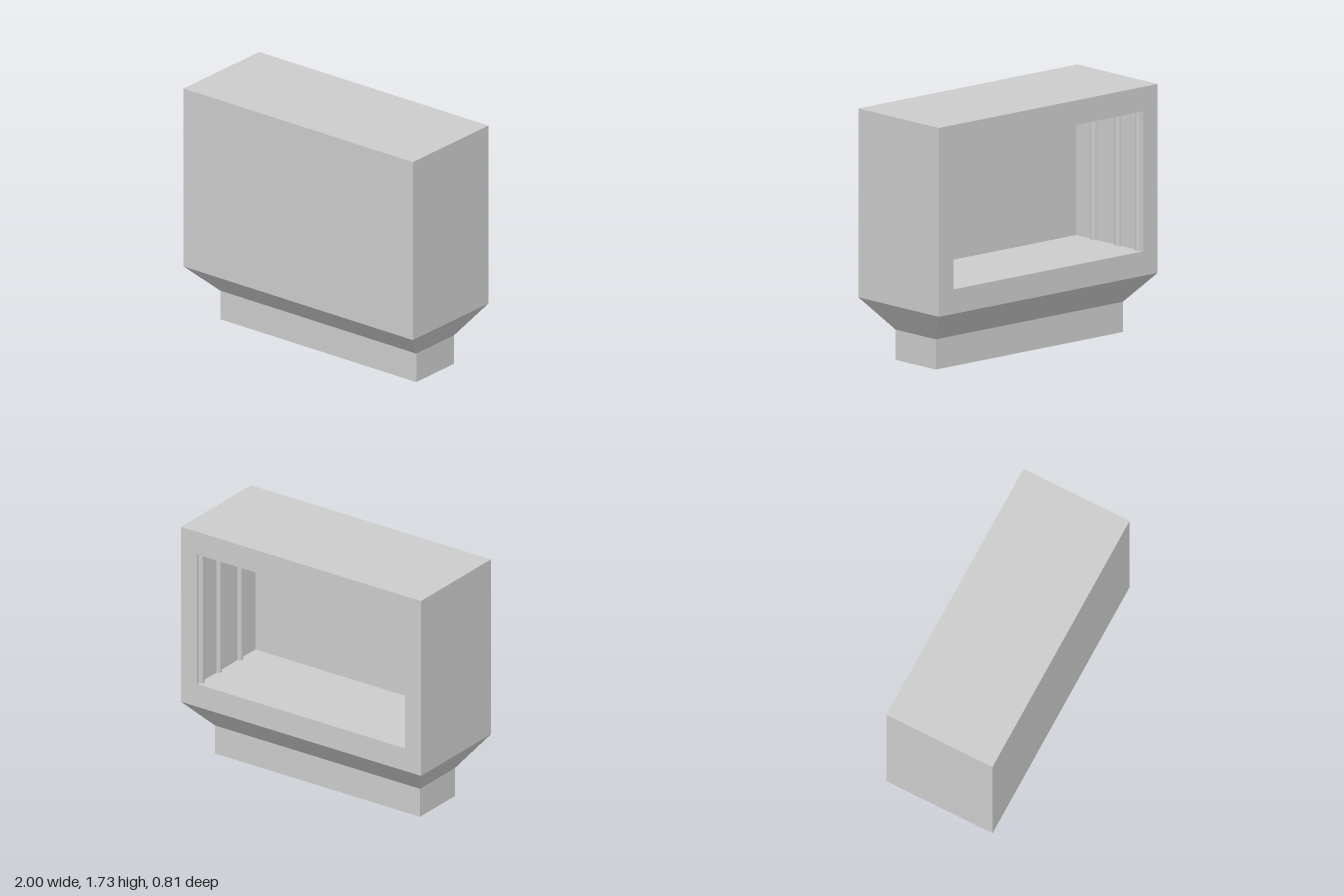
import * as THREE from 'three';

export function createModel() {
  const model = new THREE.Group();
  const grey = new THREE.MeshStandardMaterial({ color: 0xcccccc });
  grey.name = 'lightGrey';

  function add(name, geometry, x = 0, y = 0, z = 0) {
    const mesh = new THREE.Mesh(geometry, grey);
    mesh.name = name;
    mesh.position.set(x, y, z);
    model.add(mesh);
    return mesh;
  }

  // Rectangle outline, anticlockwise
  const rectangle = (Type, x, y0, y1) => new Type([
    new THREE.Vector2(-x, y0), new THREE.Vector2(x, y0),
    new THREE.Vector2(x, y1), new THREE.Vector2(-x, y1),
  ]);

  const bottom = 0.42, top = 1.73, depth = 0.405;   // outer case
  const holeX = 0.865, holeBottom = 0.59, holeTop = 1.56, innerZ = 0.267;

  // Case walls around the recess, open to the back
  const frame = rectangle(THREE.Shape, 1, bottom, top);
  frame.holes.push(rectangle(THREE.Path, holeX, holeBottom, holeTop));
  add('caseWalls', new THREE.ExtrudeGeometry(frame, { depth: depth + innerZ, bevelEnabled: false }), 0, 0, -depth);

  // Solid front panel closing the recess
  add('frontPanel', new THREE.BoxGeometry(2, top - bottom, depth - innerZ), 0, (top + bottom) / 2, (depth + innerZ) / 2);

  // Plinth, set slightly towards the back
  const baseX = 0.855, baseZ = 0.2025, baseShift = -0.0125, baseTop = 0.21;
  add('plinth', new THREE.BoxGeometry(2 * baseX, baseTop, 2 * baseZ), 0, baseTop / 2, baseShift);

  // Tapered neck: a box whose lower corners are drawn in to the plinth
  const neck = new THREE.BoxGeometry(2, bottom - baseTop, 2 * depth);
  const p = neck.attributes.position;
  for (let i = 0; i < p.count; i++) {
    if (p.getY(i) < 0) {
      p.setX(i, Math.sign(p.getX(i)) * baseX);
      p.setZ(i, Math.sign(p.getZ(i)) * baseZ + baseShift);
    }
  }
  neck.computeVertexNormals();
  add('taperedNeck', neck, 0, (bottom + baseTop) / 2, 0);

  // Vertical rods half sunk into both side walls of the recess
  const rod = new THREE.CylinderGeometry(0.025, 0.025, holeTop - holeBottom, 16, 1, true);
  for (const side of [-1, 1]) {
    for (const z of [-0.363, -0.158, 0.085]) {
      add(side > 0 ? 'leftRod' : 'rightRod', rod, side * holeX, (holeTop + holeBottom) / 2, z);
    }
  }

  return model;
}
